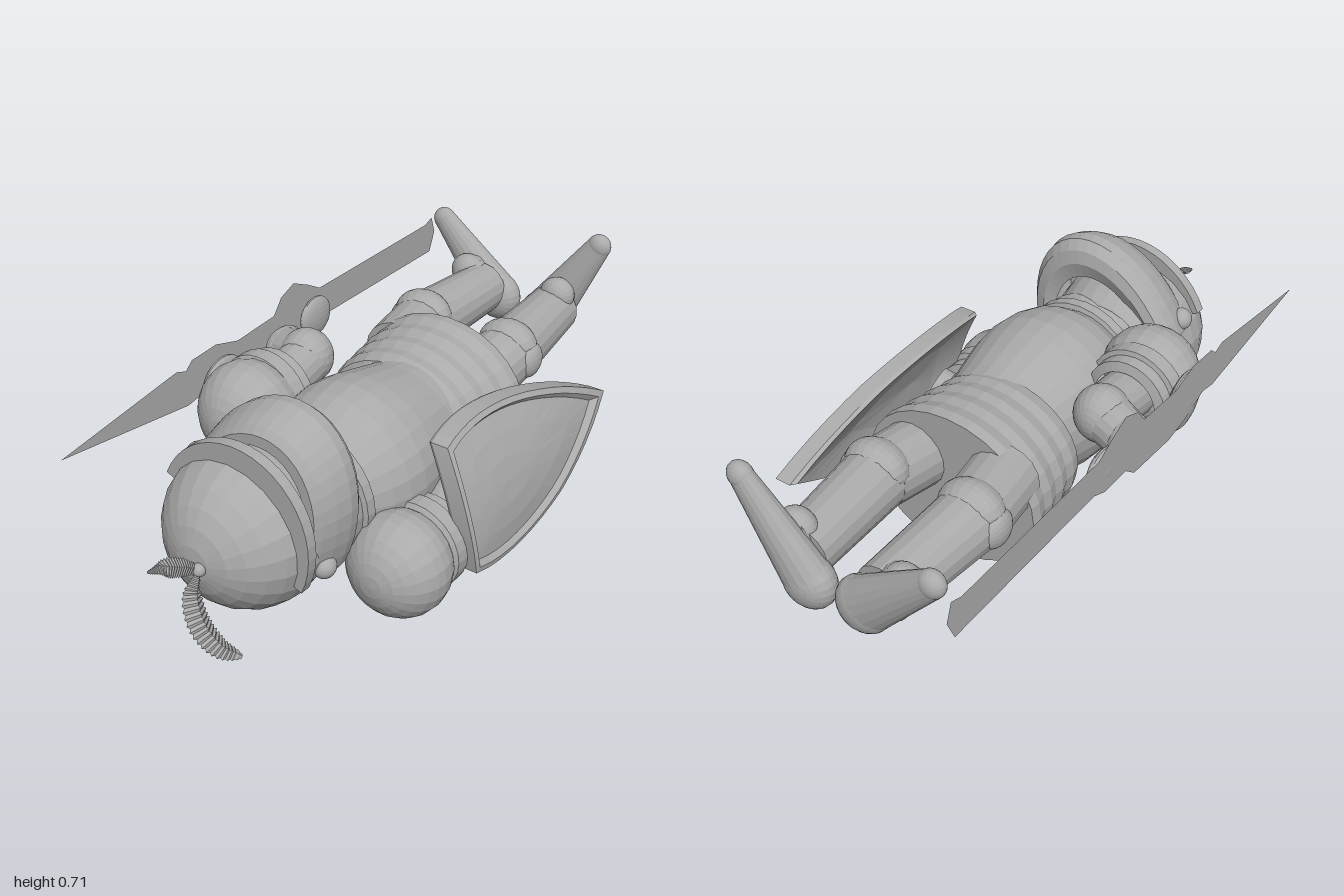
import * as THREE from 'three';

const V = (x, y, z) => new THREE.Vector3(x, y, z);
const metal = new THREE.MeshStandardMaterial({ color: 0xaaaaaa });
metal.name = 'grey metal';
metal.flatShading = true;
metal.side = THREE.DoubleSide;

function add(parent, name, geometry) {
  const mesh = new THREE.Mesh(geometry, metal);
  mesh.name = name;
  parent.add(mesh);
  return mesh;
}

// Sphere with its poles along z, optionally squashed
function ball(parent, name, p, rx, ry = rx, rz = rx) {
  const m = add(parent, name, new THREE.SphereGeometry(1, 22, 14).rotateX(Math.PI / 2));
  m.position.set(...p);
  m.scale.set(rx, ry, rz);
  return m;
}

// Tapered limb from a (radius ra) to b (radius rb)
function limb(parent, name, a, b, ra, rb) {
  const s = V(...a), e = V(...b), d = e.clone().sub(s);
  const m = add(parent, name, new THREE.CylinderGeometry(rb, ra, d.length(), 18));
  m.position.copy(s).add(e).multiplyScalar(0.5);
  m.quaternion.setFromUnitVectors(V(0, 1, 0), d.normalize());
  return m;
}

// Turned part along z from [radius, z] pairs; half keeps only the +y side
function turned(parent, name, profile, half = false) {
  const pts = profile.map(([r, z]) => new THREE.Vector2(r, z));
  const g = half ? new THREE.LatheGeometry(pts, 22, Math.PI / 2, Math.PI)
    : new THREE.LatheGeometry(pts, 28);
  return add(parent, name, g.rotateX(Math.PI / 2));
}

// Closed loft from rings of equal length
function loft(rings) {
  const n = rings[0].length, pos = [], idx = [];
  rings.forEach(r => r.forEach(p => pos.push(p.x, p.y, p.z)));
  for (let i = 0; i + 1 < rings.length; i++) {
    for (let j = 0; j < n; j++) {
      const a = i * n + j, b = i * n + (j + 1) % n;
      idx.push(a, b, b + n, a, b + n, a + n);
    }
  }
  const g = new THREE.BufferGeometry();
  g.setAttribute('position', new THREE.Float32BufferAttribute(pos, 3));
  g.setIndex(idx);
  g.computeVertexNormals();
  return g;
}

// Curved feather with a serrated outline
function feather(parent, name, points, width, thick) {
  const curve = new THREE.CatmullRomCurve3(points.map(p => V(...p)));
  const rings = [], steps = 44;
  for (let i = 0; i <= steps; i++) {
    const t = i / steps, p = curve.getPoint(t), d = curve.getTangent(t);
    const side = V(0, 0, 1).cross(d).normalize(), up = d.clone().cross(side);
    const taper = Math.pow(Math.sin(Math.PI * (0.06 + 0.92 * t)), 0.6) * (i % 2 ? 0.8 : 1);
    rings.push([[1, 0], [0, 1], [-1, 0], [0, -1]].map(([u, v]) =>
      p.clone().addScaledVector(side, u * width * taper).addScaledVector(up, v * thick * taper)));
  }
  add(parent, name, loft(rings));
}

function makeShield() {
  const s = new THREE.Shape();
  s.moveTo(0.2, 0.12);
  s.quadraticCurveTo(0.235, 0.32, 0.19, 0.505);
  s.bezierCurveTo(0, 0.555, -0.3, 0.52, -0.645, 0.32);
  s.bezierCurveTo(-0.4, 0.15, -0.1, 0.01, 0.2, 0.12);
  const outline = s.getPoints(14).slice(0, -1).reverse();
  const bend = y => 0.475 - 0.8 * (y - 0.12) ** 2;
  // [scale about the middle, offset outward]: back, rim, sunk face
  const steps = [[0, -0.045], [0.5, -0.05], [0.97, -0.07], [1, -0.055], [1, 0], [0.93, 0.002], [0.87, -0.015],
    [0.6, -0.012], [0.3, -0.01], [0, -0.01]];
  return loft(steps.map(([k, off]) => outline.map(p => {
    const z = -0.03 + (p.x + 0.03) * k, y = 0.31 + (p.y - 0.31) * k;
    return V(bend(y) + off - Math.max(0, -z - 0.3) * 0.05, y, z);
  })));
}

function makeSword() {
  const outline = [[0.88, 0.515], [0.4, 0.575], [0.36, 0.56], [0.33, 0.585], [0.22, 0.59],
    [0.12, 0.56], [-0.06, 0.57], [-0.1, 0.62], [-0.165, 0.645], [-0.24, 0.61], [-0.3, 0.575],
    [-0.93, 0.575], [-0.97, 0.59], [-0.99, 0.53], [-0.96, 0.46], [-0.32, 0.465], [-0.26, 0.44],
    [-0.15, 0.44], [-0.1, 0.4], [0.1, 0.39], [0.2, 0.41], [0.3, 0.45], [0.36, 0.44]];
  const shape = new THREE.Shape(outline.map(([z, y]) => new THREE.Vector2(z, y)));
  return new THREE.ShapeGeometry(shape).rotateY(-Math.PI / 2);
}

export function createModel() {
  const root = new THREE.Group();
  root.name = 'recliningKnight';
  const twist = -0.43;

  // Torso, rolled towards the shield side
  const torso = new THREE.Group();
  torso.name = 'torso';
  torso.position.set(0.012, 0.328, 0);
  torso.rotation.z = twist;
  root.add(torso);
  turned(torso, 'breastplate', [[0, -0.12], [0.21, -0.12], [0.22, -0.06], [0.24, 0.02], [0.258, 0.1],
    [0.265, 0.17], [0.258, 0.24], [0.24, 0.3], [0.2, 0.36], [0, 0.4]]).scale.y = 0.98;
  turned(torso, 'gorget', [[0.19, 0.35], [0.215, 0.36], [0.215, 0.395], [0.2, 0.4], [0.205, 0.45], [0.15, 0.47]]);

  // Banded skirt, level with the legs
  const skirt = new THREE.Group();
  skirt.name = 'skirt';
  skirt.position.set(-0.02, 0.32, 0);
  skirt.scale.y = 0.84;
  root.add(skirt);
  for (let i = 0; i < 4; i++) {
    const z = -0.38 + i * 0.075, r = 0.298 - i * 0.011;
    turned(skirt, 'skirtBand', [[0, z], [r, z], [r + 0.003, z + 0.035], [r - 0.012, z + 0.078], [r - 0.04, z + 0.09]]);
  }

  // Helmet, with the visor facing up from the body
  const head = new THREE.Group();
  head.name = 'helmet';
  head.position.set(-0.03, 0.337, 0);
  head.rotation.z = twist;
  root.add(head);
  ball(head, 'skull', [0, 0, 0.615], 0.248, 0.248, 0.244);
  turned(head, 'neckGuard', [[0.19, 0.42], [0.215, 0.45], [0.235, 0.53], [0.24, 0.58]]);
  turned(head, 'visor', [[0.18, 0.46], [0.215, 0.445], [0.245, 0.455], [0.264, 0.485], [0.267, 0.52],
    [0.256, 0.57], [0.24, 0.61], [0.225, 0.63], [0.2, 0.63]], true).scale.y = 1.48;
  const brow = turned(head, 'browBand', [[0.235, 0.655], [0.29, 0.655], [0.29, 0.69], [0.21, 0.69]], true);
  brow.position.y = 0.015;
  brow.scale.x = 0.9;
  for (const s of [-1, 1]) ball(head, 'visorPin', [s * 0.25, 0.035, 0.58], 0.032, 0.036, 0.036);

  // Plume at the crown
  ball(root, 'plumeSocket', [0, 0.335, 0.86], 0.02);
  feather(root, 'longFeather', [[0, 0.32, 0.87], [0.005, 0.28, 0.9], [0.04, 0.2, 0.915], [0.085, 0.13, 0.895], [0.125, 0.085, 0.85]], 0.028, 0.042);
  feather(root, 'shortFeather', [[-0.005, 0.335, 0.86], [-0.02, 0.365, 0.91], [-0.035, 0.385, 0.96], [-0.055, 0.385, 0.995]], 0.017, 0.03);

  // Right arm and sword
  ball(root, 'rightShoulder', [-0.3, 0.445, 0.285], 0.162, 0.165, 0.148);
  [0.2, 0.155].forEach((z, i) => {
    const r = 0.15 - i * 0.015;
    turned(root, 'rightShoulderBand', [[r - 0.03, z - 0.04], [r, z - 0.03], [r, z + 0.02], [r - 0.03, z + 0.04]])
      .position.set(-0.31, 0.45, 0);
  });
  limb(root, 'rightUpperArm', [-0.3, 0.455, 0.2], [-0.31, 0.49, -0.02], 0.085, 0.08);
  ball(root, 'rightElbow', [-0.315, 0.495, -0.02], 0.088, 0.092, 0.085);
  limb(root, 'rightForearm', [-0.31, 0.495, -0.015], [-0.43, 0.47, -0.05], 0.08, 0.075);
  ball(root, 'rightHand', [-0.425, 0.465, -0.05], 0.054, 0.085, 0.085);
  ball(root, 'swordGuard', [-0.455, 0.5, -0.245], 0.024, 0.07, 0.075);
  ball(root, 'swordPommel', [-0.455, 0.455, 0.22], 0.024, 0.1, 0.1);
  add(root, 'sword', makeSword()).position.x = -0.478;

  // Left arm and shield
  ball(root, 'leftShoulder', [0.297, 0.168, 0.34], 0.165, 0.167, 0.148);
  [0.235, 0.19].forEach((z, i) => {
    const r = 0.15 - i * 0.018;
    turned(root, 'leftShoulderBand', [[r - 0.03, z - 0.04], [r, z - 0.03], [r, z + 0.02], [r - 0.03, z + 0.04]])
      .position.set(0.297, 0.175, 0);
  });
  limb(root, 'leftUpperArm', [0.29, 0.18, 0.24], [0.295, 0.23, 0.08], 0.08, 0.075);
  ball(root, 'leftElbow', [0.295, 0.235, 0.075], 0.078);
  limb(root, 'leftForearm', [0.295, 0.235, 0.075], [0.37, 0.27, 0.06], 0.065, 0.06);
  add(root, 'shield', makeShield());

  // Legs with knee guards and long pointed shoes
  const legs = [
    { side: 'right', hip: [-0.185, 0.41, -0.33], knee: [-0.22, 0.42, -0.54], ankle: [-0.205, 0.415, -0.91], heel: [-0.165, 0.38, -0.938], toe: [-0.413, 0.607, -0.96], out: -1 },
    { side: 'left', hip: [0.105, 0.38, -0.33], knee: [0.115, 0.41, -0.54], ankle: [0.08, 0.412, -0.91], heel: [0.028, 0.36, -0.938], toe: [0.208, 0.66, -0.965], out: 1 },
  ];
  for (const { side, hip, knee, ankle, heel, toe, out } of legs) {
    const leg = new THREE.Group();
    leg.name = side + 'Leg';
    root.add(leg);
    limb(leg, 'thigh', hip, knee, 0.11, 0.105);
    limb(leg, 'shin', knee, ankle, 0.104, 0.088);
    ball(leg, 'kneeGuard', [knee[0], knee[1] + 0.035, knee[2]], 0.104, 0.085, 0.077);
    ball(leg, 'kneeWing', [knee[0] + out * 0.085, knee[1], knee[2]], 0.035, 0.06, 0.06);
    ball(leg, 'heel', heel, 0.088, 0.088, 0.062);
    ball(leg, 'toe', toe, 0.042, 0.042, 0.032);
    limb(leg, 'shoe', heel, toe, 0.062, 0.03).scale.x = 1.4;
    const mid = heel.map((v, i) => v + (toe[i] - v) * 0.4);
    limb(leg, 'instep', [ankle[0], ankle[1] + 0.02, -0.84], [mid[0], mid[1], -0.925], 0.06, 0.055);
    ball(leg, 'instepPlate', [mid[0], mid[1], -0.89], 0.062, 0.06, 0.05);
  }
  return root;
}
